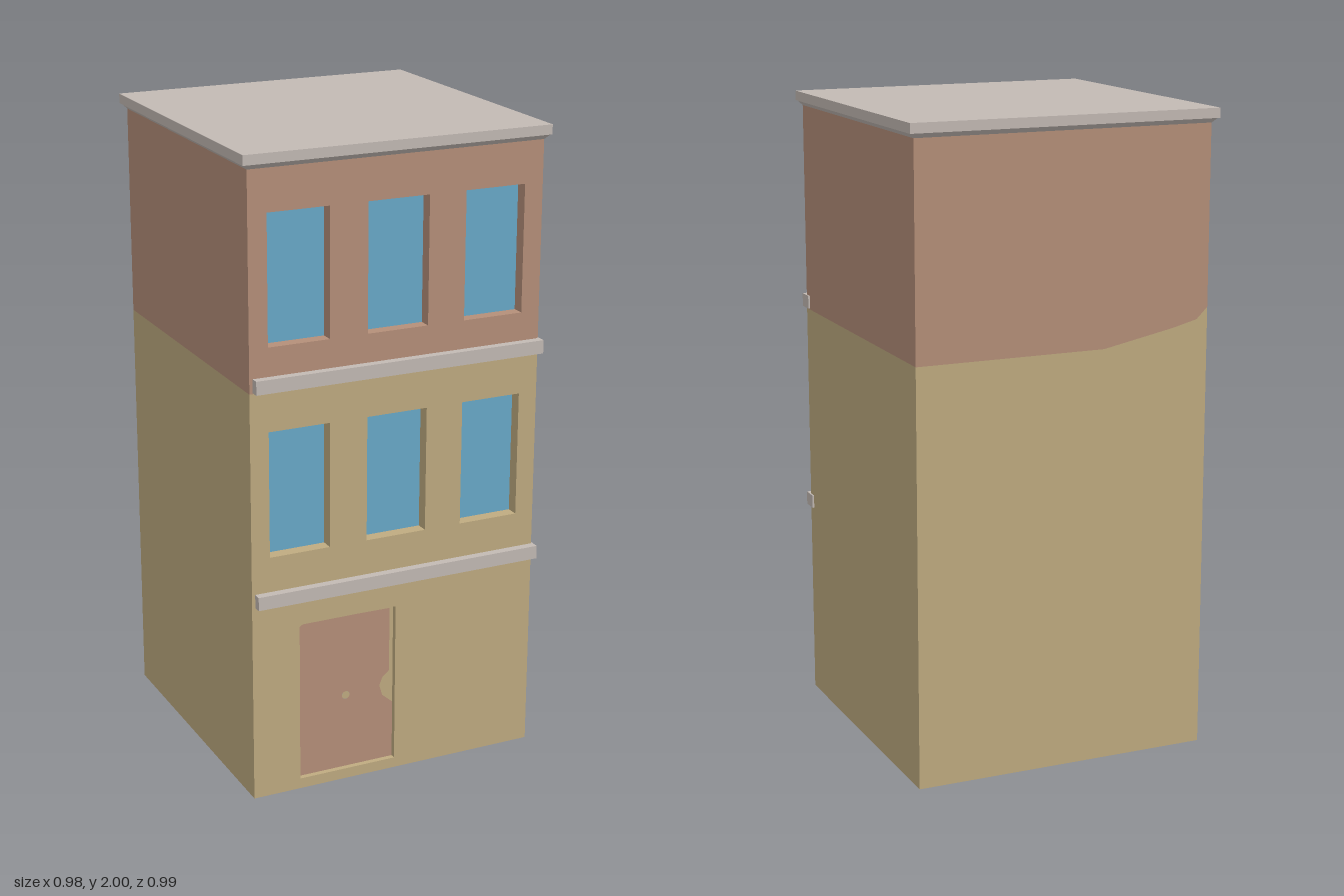
import * as THREE from 'three';

const mat = (name, color) => {
  const m = new THREE.MeshStandardMaterial({ color, side: THREE.DoubleSide });
  m.name = name;
  return m;
};

const poly = (pts) => new THREE.Shape(pts.map(([x, y]) => new THREE.Vector2(x, y)));
const rect = (x0, x1, y0, y1) => poly([[x0, y0], [x1, y0], [x1, y1], [x0, y1]]);

export function createModel() {
  const plaster = mat('sand plaster', 0xbfab80);
  const brick = mat('clay brick', 0xb58f79);
  const stone = mat('grey stone', 0xc3bab4);
  const glass = mat('blue glass', 0x69a9c9);

  const group = new THREE.Group();
  const add = (name, geometry, material, x = 0, y = 0, z = 0) => {
    const mesh = new THREE.Mesh(geometry, material);
    mesh.name = name;
    mesh.position.set(x, y, z);
    group.add(mesh);
    return mesh;
  };

  const L = -0.476, R = 0.472, F = 0.47, B = -0.478; // outer wall faces
  const SPLIT = 1.3, EAVE = 1.957;
  const cx = (L + R) / 2, cz = (F + B) / 2;

  // Front wall in two storeys' colours, with openings
  const lower = rect(L, R, 0, SPLIT);
  const upper = rect(L, R, SPLIT, EAVE);

  // Four inward sides of an opening
  const reveal = (name, x0, x1, y0, y1, depth, material) => {
    let g = new THREE.CylinderGeometry(Math.SQRT1_2, Math.SQRT1_2, 1, 4, 1, true);
    g = g.rotateY(Math.PI / 4).rotateX(Math.PI / 2).scale(x1 - x0, y1 - y0, depth).toNonIndexed();
    g.computeVertexNormals();
    add(name, g, material, (x0 + x1) / 2, (y0 + y1) / 2, F - depth / 2);
  };

  // Windows
  const rows = [
    { y0: 0.785, y1: 1.177, wall: lower, material: plaster },
    { y0: 1.433, y1: 1.827, wall: upper, material: brick },
  ];
  for (const { y0, y1, wall, material } of rows) {
    for (const [x0, x1] of [[-0.417, -0.222], [-0.1, 0.097], [0.217, 0.412]]) {
      wall.holes.push(rect(x0, x1, y0, y1));
      reveal('windowReveal', x0, x1, y0, y1, 0.04, material);
      add('windowPane', new THREE.ShapeGeometry(rect(x0, x1, y0, y1)), glass, 0, 0, F - 0.04);
    }
  }

  // Door: panel and trim share one irregular painted edge
  const dx0 = -0.322, dx1 = 0, dy0 = 0.033, dy1 = 0.55, doorZ = F - 0.017;
  lower.holes.push(rect(dx0, dx1, dy0, dy1));
  reveal('doorReveal', dx0, dx1, dy0, dy1, 0.017, plaster);
  const edge = [[dx1, 0.22], [-0.035, 0.25], [-0.045, 0.285], [-0.035, 0.31],
    [-0.012, 0.33], [-0.012, 0.54], [-0.3, 0.544], [dx0, 0.53]];
  const panel = poly([[dx0, dy0], [dx1, dy0], ...edge]);
  const knob = new THREE.Path().absarc(-0.16, 0.276, 0.013, 0, Math.PI * 2);
  panel.holes.push(knob);
  add('doorPanel', new THREE.ShapeGeometry(panel), brick, 0, 0, doorZ);
  add('doorTrim', new THREE.ShapeGeometry(poly([...edge, [dx0, dy1], [dx1, dy1]])), plaster, 0, 0, doorZ);
  add('doorKnob', new THREE.CircleGeometry(0.013, 12), plaster, -0.16, 0.276, doorZ);

  add('frontWallLower', new THREE.ShapeGeometry(lower), plaster, 0, 0, F);
  add('frontWallUpper', new THREE.ShapeGeometry(upper), brick, 0, 0, F);

  // Side walls
  for (const [name, x, turn] of [['leftWall', R, 1], ['rightWall', L, -1]]) {
    for (const [part, y0, y1, m] of [['Lower', 0, SPLIT, plaster], ['Upper', SPLIT, EAVE, brick]]) {
      const wall = add(name + part, new THREE.PlaneGeometry(F - B, y1 - y0), m, x, (y0 + y1) / 2, cz);
      wall.rotation.y = turn * Math.PI / 2;
    }
  }

  // Back wall: the colour line climbs near one corner (drawn mirrored, then turned)
  const line = [[-R, SPLIT], [0.13, SPLIT], [0.36, 1.345], [0.44, 1.365], [-L, 1.4]];
  const backLower = poly([[-R, 0], [-L, 0], ...[...line].reverse()]);
  const backUpper = poly([...line, [-L, EAVE], [-R, EAVE]]);
  add('backWallLower', new THREE.ShapeGeometry(backLower), plaster, 0, 0, B).rotation.y = Math.PI;
  add('backWallUpper', new THREE.ShapeGeometry(backUpper), brick, 0, 0, B).rotation.y = Math.PI;

  // Stone belts across the front
  for (const y of [0.654, 1.324]) {
    add('stoneBelt', new THREE.BoxGeometry(0.943, 0.042, 0.055), stone, 0.006, y, 0.4685);
  }

  // Roof slab over a sloped cornice
  add('roofSlab', new THREE.BoxGeometry(0.984, 0.03, 0.984), stone, cx, 1.985, cz - 0.002);
  const cornice = new THREE.CylinderGeometry(0.488 * Math.SQRT2, 0.474 * Math.SQRT2, 0.015, 4, 1, true)
    .rotateY(Math.PI / 4).toNonIndexed();
  cornice.computeVertexNormals();
  add('cornice', cornice, stone, cx, 1.9625, cz);

  return group;
}
